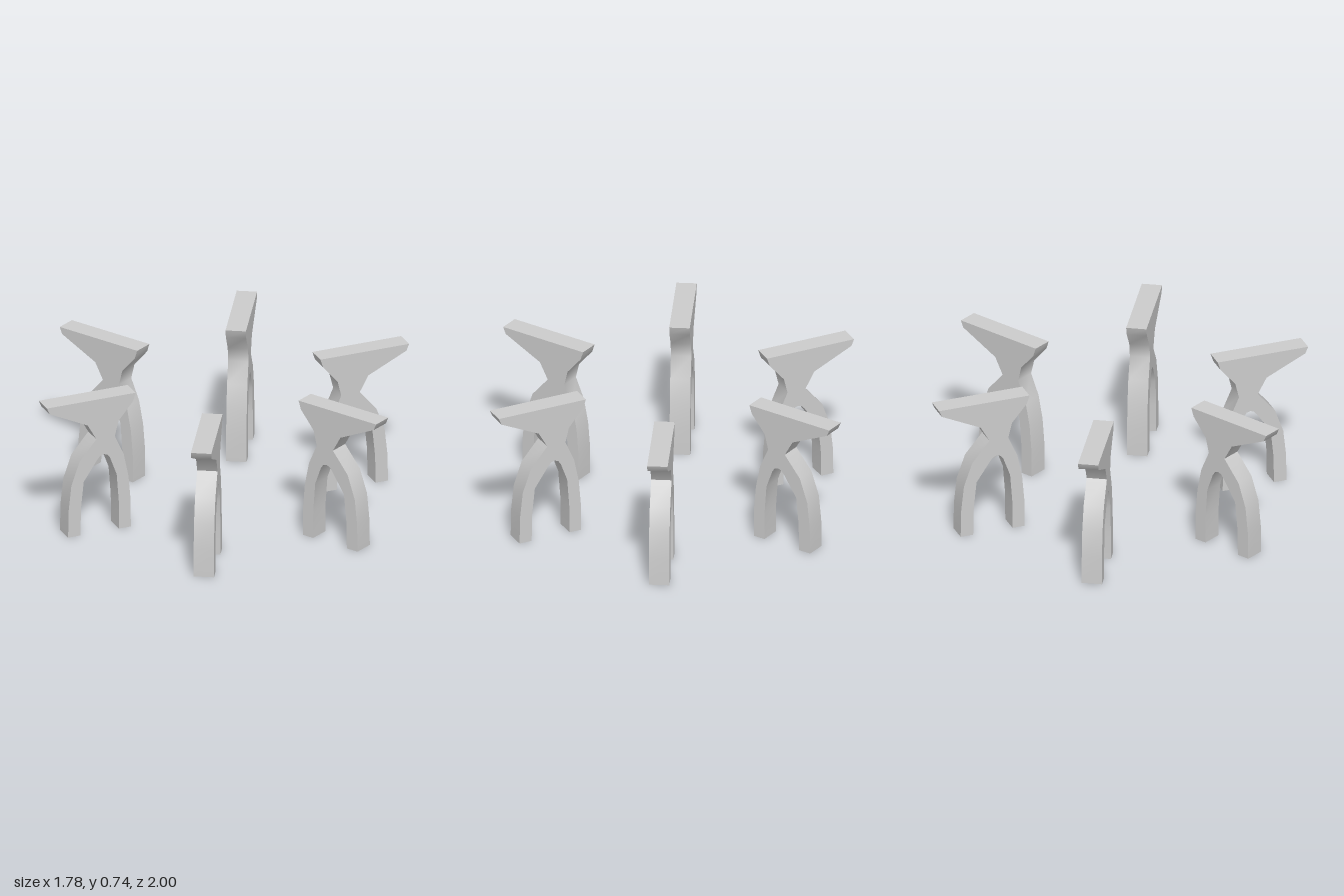
import * as THREE from 'three';
import { toCreasedNormals } from 'three/addons/utils/BufferGeometryUtils.js';

// Side outline of one support: x is the distance from the centre, y is height
const OUTLINE = [
  // outer bracket and outer leg, going down
  [1.0, 0.74], [0.985, 0.705], [0.775, 0.605], [0.727, 0.52],
  [0.82, 0.41], [0.865, 0.285], [0.88, 0.15], [0.883, 0],
  // arch between the legs
  [0.815, 0], [0.812, 0.15], [0.797, 0.295], [0.722, 0.405], [0.705, 0.424],
  [0.686, 0.43], [0.667, 0.424], [0.652, 0.405], [0.615, 0.305], [0.603, 0.15], [0.602, 0],
  // inner leg and inner bracket, going up
  [0.537, 0], [0.538, 0.15], [0.55, 0.285], [0.576, 0.41],
  [0.625, 0.52], [0.605, 0.6], [0.525, 0.695], [0.51, 0.74],
];
const THICKNESS = 0.104;
const COUNT = 6;

export function createModel() {
  const group = new THREE.Group();
  group.name = 'supportRing';
  const material = new THREE.MeshStandardMaterial({ color: 0xcccccc });

  const shape = new THREE.Shape(OUTLINE.map(([x, y]) => new THREE.Vector2(x, y)));
  const slab = new THREE.ExtrudeGeometry(shape, { depth: THICKNESS, bevelEnabled: false });
  slab.translate(0, 0, -THICKNESS / 2);
  const geometry = toCreasedNormals(slab, THREE.MathUtils.degToRad(42));

  // Six identical forked supports set radially
  for (let i = 0; i < COUNT; i++) {
    const support = new THREE.Mesh(geometry, material);
    support.name = `forkedSupport${i + 1}`;
    support.rotation.y = Math.PI / 6 + (i * Math.PI * 2) / COUNT;
    group.add(support);
  }
  return group;
}
